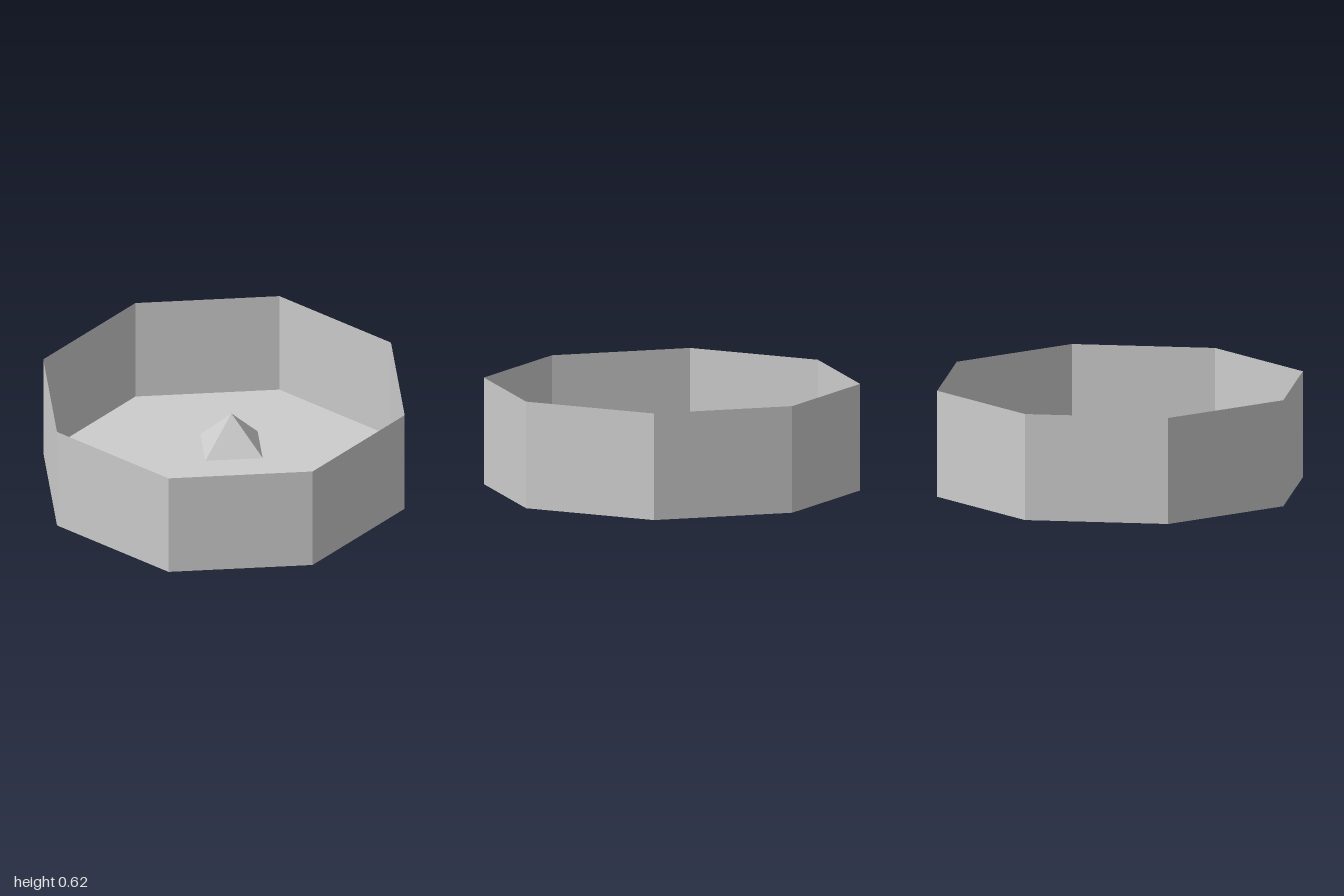
import * as THREE from 'three';

const WALL_HEIGHT = 0.62;
const SPIKE_HEIGHT = 0.215;

// Base corners (x, z) and apex of each hollow spike
const SPIKES = [
  { base: [[-0.085, -0.54], [0.245, -0.54], [0.245, -0.235], [-0.085, -0.235]], apex: [0.08, -0.39] },
  { base: [[-0.71, 0.075], [-0.415, 0.07], [-0.415, 0.38], [-0.71, 0.395]], apex: [-0.56, 0.23] },
  { base: [[0.245, 0.225], [0.56, 0.235], [0.56, 0.535], [0.245, 0.535]], apex: [0.41, 0.38] },
];

// Four triangular sides, open underneath
function spikeGeometry({ base, apex }) {
  const points = [];
  base.forEach(([x, z], i) => {
    const [nx, nz] = base[(i + 1) % base.length];
    points.push(nx, 0, nz, x, 0, z, apex[0], SPIKE_HEIGHT, apex[1]);
  });
  const geometry = new THREE.BufferGeometry();
  geometry.setAttribute('position', new THREE.Float32BufferAttribute(points, 3));
  geometry.computeVertexNormals();
  return geometry;
}

export function createModel() {
  const model = new THREE.Group();
  model.name = 'octagonalTray';
  const grey = new THREE.MeshStandardMaterial({ color: 0xcccccc, flatShading: true, side: THREE.DoubleSide });
  grey.name = 'light grey';

  const add = (name, geometry) => {
    const mesh = new THREE.Mesh(geometry, grey);
    mesh.name = name;
    model.add(mesh);
  };

  // Thin eight-sided wall, flat sides facing the axes
  const radius = 1 / Math.cos(Math.PI / 8);
  const wall = new THREE.CylinderGeometry(radius, radius, WALL_HEIGHT, 8, 1, true);
  wall.rotateY(Math.PI / 8).translate(0, WALL_HEIGHT / 2, 0);
  add('wall', wall);

  // Floor sheet, cut open below each spike
  const corners = [];
  for (let i = 0; i < 8; i++) {
    const a = Math.PI / 8 + (i * Math.PI) / 4;
    corners.push(new THREE.Vector2(radius * Math.cos(a), radius * Math.sin(a)));
  }
  const outline = new THREE.Shape(corners);
  for (const { base } of SPIKES) {
    outline.holes.push(new THREE.Path(base.map(([x, z]) => new THREE.Vector2(x, -z))));
  }
  add('floor', new THREE.ShapeGeometry(outline).rotateX(-Math.PI / 2));

  // Hollow spikes rising from the floor
  SPIKES.forEach((spike, i) => add(`spike${i + 1}`, spikeGeometry(spike)));

  return model;
}
